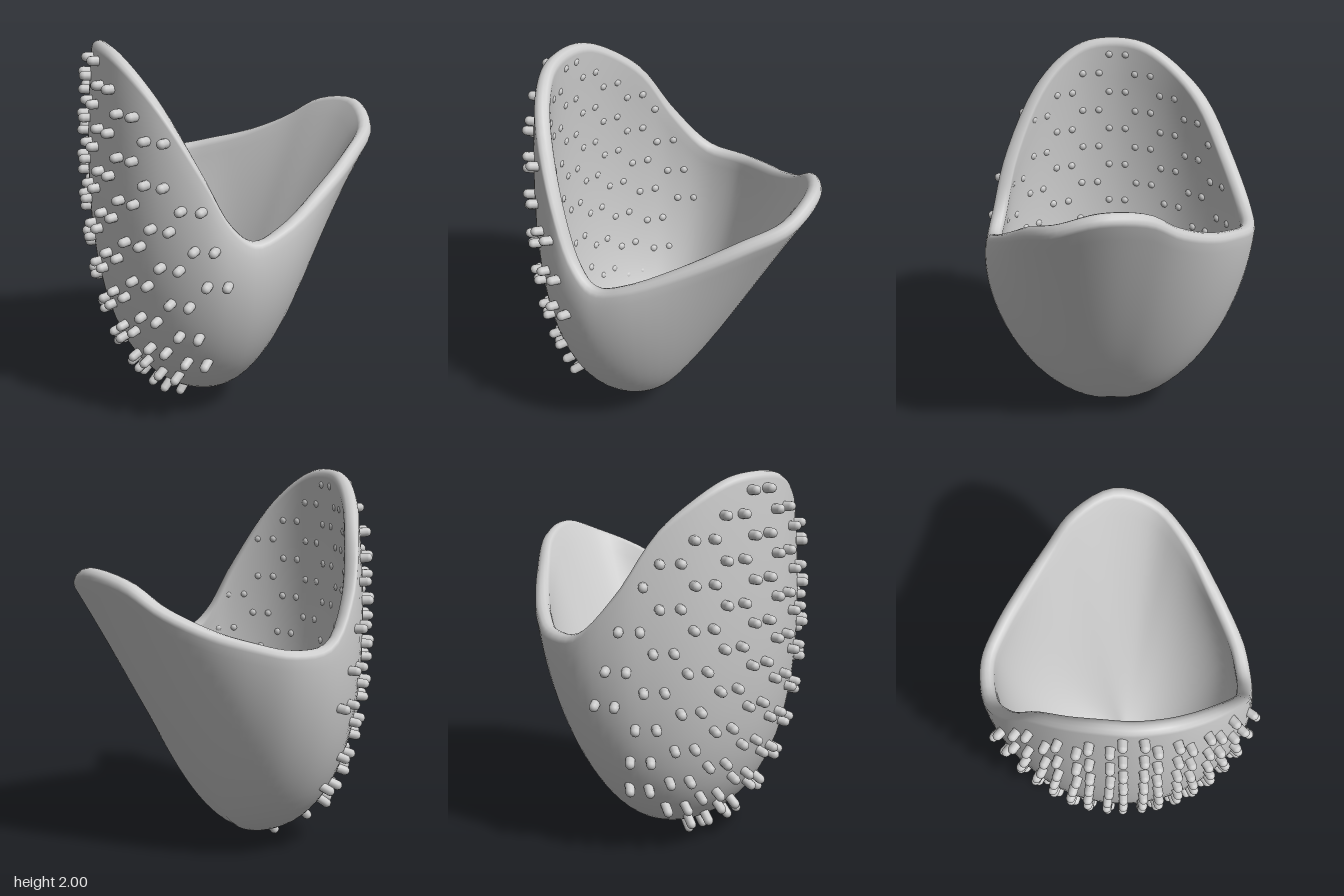
import * as THREE from 'three';

const BASE = new THREE.Vector3(-0.05, 0.05, 0.02); // lowest point of the shell
const WALL = 0.08;
const { lerp, clamp } = THREE.MathUtils;

// Rim line: tall lip, dip, short lip, dip
const rim = new THREE.CatmullRomCurve3([
  [-0.47, 2.0, 0.42], [-0.34, 1.98, 0.54], [-0.2, 1.9, 0.61], [-0.04, 1.75, 0.645],
  [0.18, 1.43, 0.635], [0.32, 1.17, 0.58], [0.42, 1.08, 0.51], [0.54, 1.13, 0.36],
  [0.67, 1.27, 0.05], [0.74, 1.39, -0.2], [0.75, 1.47, -0.42], [0.63, 1.55, -0.61],
  [0.4, 1.51, -0.71], [0.2, 1.39, -0.73], [-0.05, 1.29, -0.725], [-0.25, 1.24, -0.7],
  [-0.45, 1.2, -0.64], [-0.61, 1.22, -0.49], [-0.68, 1.44, -0.29], [-0.67, 1.73, -0.09],
  [-0.63, 1.89, 0.11], [-0.56, 1.98, 0.28],
].map(([x, y, z]) => new THREE.Vector3(x, y - 0.035, z)), true);

const SIDES = 96;
const angleOf = p => Math.atan2(p.x - BASE.x, p.z - BASE.z);

// Outer wall curve (radius, height) from the base up to a rim point
function meridian(p) {
  const phi = angleOf(p);
  const s = (1 - Math.cos(phi + Math.PI / 4)) / 2; // 0 at tall lip, 1 at short lip
  const flank = 4 * s * (1 - s); // 1 below the dips, where the shell is widest
  const r = Math.hypot(p.x - BASE.x, p.z - BASE.z);
  return {
    phi,
    curve: new THREE.CubicBezierCurve(
      new THREE.Vector2(0, BASE.y),
      new THREE.Vector2(lerp(0.41, 0.2, s) + 0.16 * flank, BASE.y),
      new THREE.Vector2(lerp(0.69, 0.56, s) + 0.13 * flank, lerp(0.5, 0.85, s)),
      new THREE.Vector2(r, p.y)),
  };
}

const place = (v, phi) =>
  new THREE.Vector3(BASE.x + v.x * Math.sin(phi), v.y, BASE.z + v.x * Math.cos(phi));

// Closed wall section: outside, rounded rim, inside
function section(curve) {
  const steps = 24, arc = 6, outer = [], inner = [];
  for (let j = 0; j <= steps; j++) {
    const p = curve.getPoint(j / steps), t = curve.getTangent(j / steps);
    outer.push(p);
    inner.unshift(new THREE.Vector2(Math.max(0, p.x - t.y * WALL), p.y + t.x * WALL));
  }
  const t = curve.getTangent(1), h = WALL / 2, edge = [];
  const c = outer[steps].clone().add(inner[0]).multiplyScalar(0.5);
  for (let k = 1; k < arc; k++) {
    const a = Math.PI * k / arc, n = Math.cos(a) * h, u = Math.sin(a) * h;
    edge.push(new THREE.Vector2(c.x + t.y * n + t.x * u, c.y - t.x * n + t.y * u));
  }
  return [...outer, ...edge, ...inner];
}

function shellGeometry() {
  const pos = [], index = [];
  let rows = 0;
  for (let i = 0; i < SIDES; i++) {
    const { phi, curve } = meridian(rim.getPoint(i / SIDES));
    const pts = section(curve);
    rows = pts.length;
    pts.forEach(v => pos.push(...place(v, phi).toArray()));
  }
  for (let i = 0; i < SIDES; i++) {
    for (let j = 0; j < rows - 1; j++) {
      const a = i * rows + j, b = ((i + 1) % SIDES) * rows + j;
      index.push(a, b, b + 1, a, b + 1, a + 1);
    }
  }
  const g = new THREE.BufferGeometry();
  g.setAttribute('position', new THREE.Float32BufferAttribute(pos, 3));
  g.setIndex(index);
  g.computeVertexNormals();
  return g;
}

export function createModel() {
  const model = new THREE.Group();
  const material = new THREE.MeshStandardMaterial({ color: 0xcccccc });

  const shell = new THREE.Mesh(shellGeometry(), material);
  shell.name = 'shell';
  model.add(shell);

  // Studs in staggered pairs through the tall wall
  const studs = new THREE.Group();
  studs.name = 'studs';
  model.add(studs);
  const lines = [];
  for (let i = 0; i < 720; i++) lines.push(meridian(rim.getPoint(i / 720)));
  const gap = (a, b) => Math.abs(Math.atan2(Math.sin(a - b), Math.cos(a - b)));
  const lineAt = phi => lines.reduce((m, l) => gap(l.phi, phi) < gap(m.phi, phi) ? l : m);
  const tAt = (curve, y) => {
    let lo = 0, hi = 1;
    for (let n = 0; n < 24; n++) {
      const mid = (lo + hi) / 2;
      if (curve.getPoint(mid).y < y) lo = mid; else hi = mid;
    }
    return lo;
  };
  const studGeometry = new THREE.CapsuleGeometry(0.025, 0.1, 4, 10);
  const up = new THREE.Vector3(0, 1, 0);

  for (let row = 0; row < 19; row++) {
    const level = 1.92 - row * 0.11 + 0.002 * Math.max(0, row - 10) ** 2;
    const reach = level > 0.8 ? 4 : level > 0.28 ? 3 : level > 0.2 ? 2 : level > 0.1 ? 1 : 0;
    for (let k = -4; k <= 4; k++) {
      if ((k + row) % 2 !== 0 || Math.abs(k) > reach) continue;
      const y = level + Math.max(0, 1.15 - level) * k * k * 0.01;
      const spread = 1 + 0.4 * Math.max(0, 1.3 - level);
      const mid = -THREE.MathUtils.degToRad(47 + 15.5 * k * spread);
      const centre = lineAt(mid).curve;
      if (y > centre.getPoint(1).y - 0.04) continue;
      const r = centre.getPoint(tAt(centre, y)).x;
      for (const side of [-1, 1]) {
        const phi = mid + side * 0.05 / r;
        const { curve } = lineAt(phi);
        if (y > curve.getPoint(1).y - 0.03) continue;
        const t = tAt(curve, y), p = curve.getPoint(t), d = curve.getTangent(t);
        // studs lean toward the tall side, more so near the base
        const low = 1 - clamp(y / 0.6, 0, 1);
        const aim = lerp(phi, -Math.PI / 4, lerp(0.3, 0.8, low));
        const out = Math.max(d.y, 0.7);
        const axis = new THREE.Vector3(out * Math.sin(aim), -d.x, out * Math.cos(aim)).normalize();
        const stud = new THREE.Mesh(studGeometry, material);
        stud.name = 'stud';
        stud.position.copy(place(p, phi)).addScaledVector(axis, lerp(-0.015, 0.01, low));
        stud.quaternion.setFromUnitVectors(up, axis);
        studs.add(stud);
      }
    }
  }
  return model;
}
